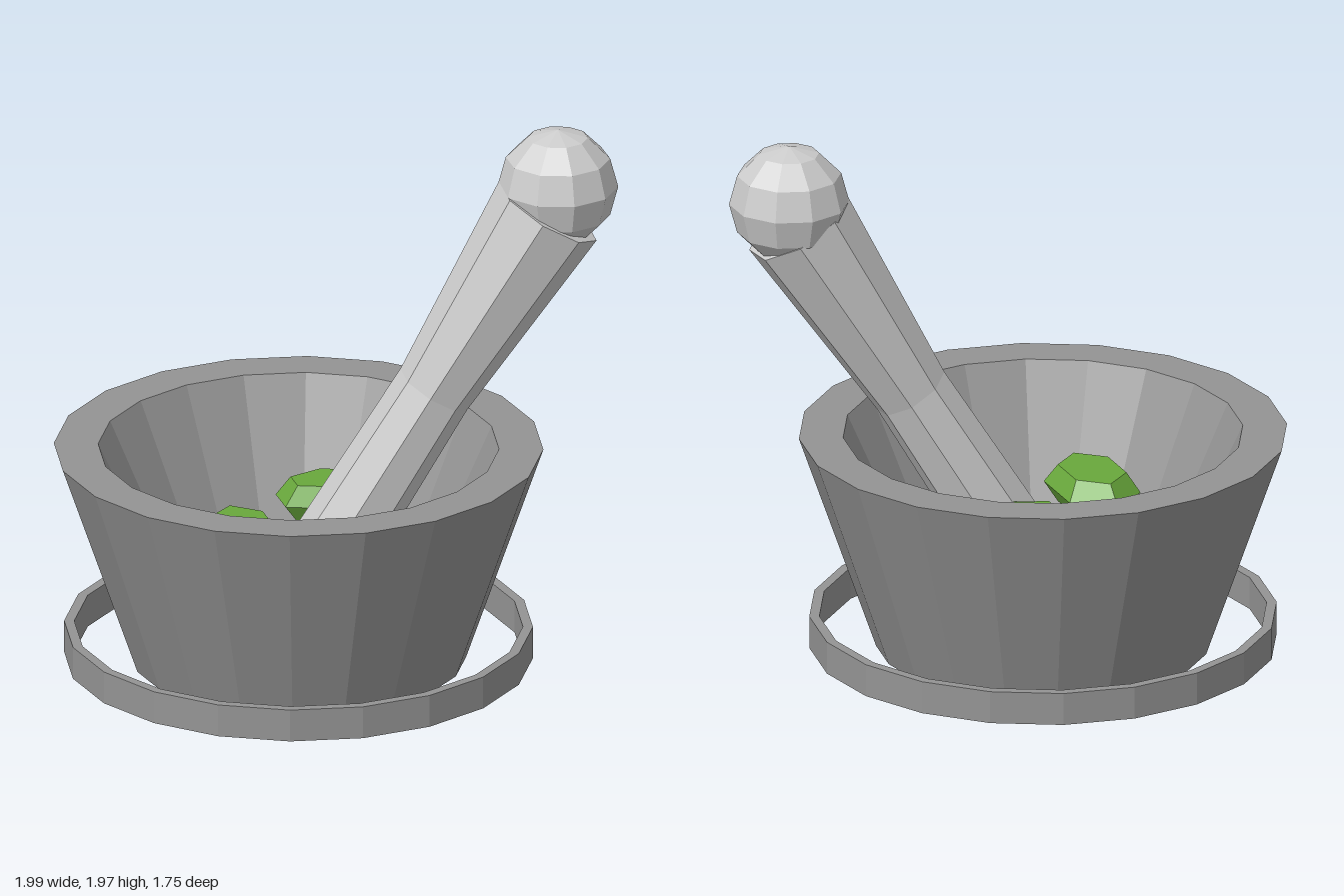
import * as THREE from 'three';

const flat = (color) => new THREE.MeshStandardMaterial({ color, flatShading: true });

// Faceted turned part from [radius, height] pairs
function turned(name, profile, sides, material, phase = 0) {
  const points = profile.map(([r, y]) => new THREE.Vector2(r, y));
  const mesh = new THREE.Mesh(new THREE.LatheGeometry(points, sides, phase), material);
  mesh.name = name;
  return mesh;
}

export function createModel() {
  const model = new THREE.Group();
  model.name = 'mortarAndPestle';
  const stone = flat(0x949494);
  const pale = flat(0xcccccc);
  const green = flat(0x69a83c);

  // Mortar: thick-walled bowl and a loose ring around its foot
  const mortar = new THREE.Group();
  mortar.name = 'mortar';
  mortar.position.x = -0.127;
  mortar.add(
    turned('bowl', [[0, 0], [0.597, 0], [0.873, 0.8], [0.715, 0.8], [0.437, 0.2], [0, 0.2]], 20, stone),
    turned('footRing', [[0.8, 0], [0.836, 0], [0.836, 0.12], [0.8, 0.12], [0.8, 0]], 20, stone)
  );
  model.add(mortar);

  // Pestle: eight-sided waisted shaft leaning out of the bowl
  const pestle = new THREE.Group();
  pestle.name = 'pestle';
  const foot = new THREE.Vector3(-0.067, 0.3, 0.003);
  const head = new THREE.Vector3(0.75, 1.67, 0.163);
  const axis = head.clone().sub(foot);
  const length = axis.length();
  const shaft = turned('shaft',
    [[0, 0], [0.155, 0], [0.14, 0.818], [0.204, length], [0, length]], 8, pale, Math.PI / 8);
  shaft.position.copy(foot);
  shaft.quaternion.setFromUnitVectors(new THREE.Vector3(0, 1, 0), axis.normalize());

  // Round knob at the top of the shaft
  const knob = new THREE.Mesh(new THREE.SphereGeometry(0.215, 10, 6), pale);
  knob.name = 'knob';
  knob.position.set(0.79, 1.758, 0.155);
  knob.rotation.y = Math.PI / 2;
  pestle.add(shaft, knob);
  model.add(pestle);

  // Green six-sided chunks inside the bowl: [x, y, z, radius x, radius z]
  const chunks = [[-0.367, 0.51, 0.117, 0.158, 0.237], [0.033, 0.52, -0.19, 0.199, 0.13]];
  chunks.forEach(([x, y, z, rx, rz], i) => {
    const chunk = turned('herbChunk' + (i + 1),
      [[0, -0.07], [0.71, -0.07], [1, 0], [0.71, 0.07], [0, 0.07]], 6, green);
    chunk.position.set(x, y, z);
    chunk.scale.set(rx, 1, rz);
    model.add(chunk);
  });

  return model;
}
